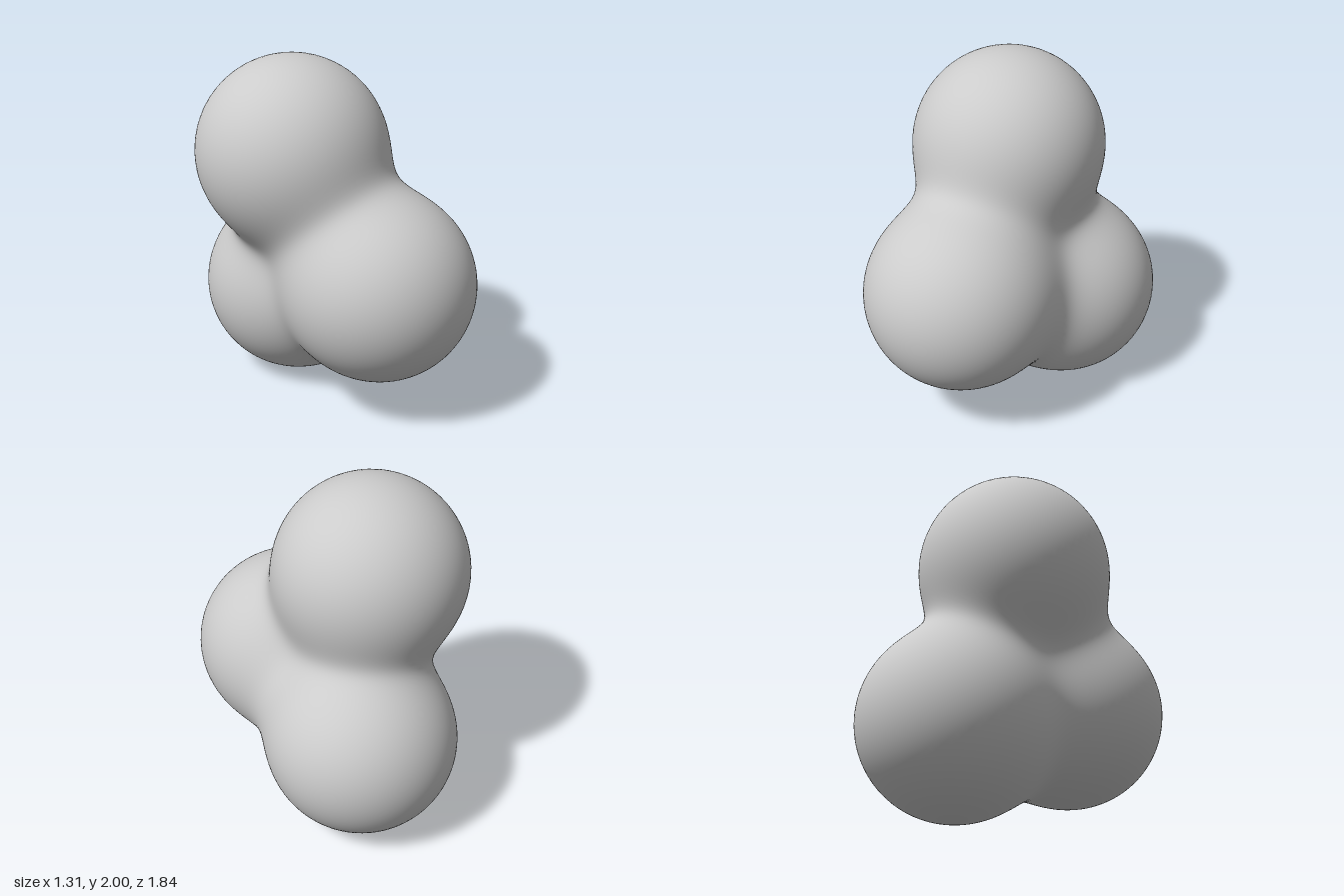
import * as THREE from 'three';

// Three equal balls melted into one smooth body
const R = 0.54;
const BLEND = 0.1;
const BALLS = [
  new THREE.Vector3(-0.115, 1.458, -0.155), // top
  new THREE.Vector3(0.05, 0.763, 0.38),     // front
  new THREE.Vector3(0.115, 0.542, -0.38),   // back
];

// Smooth union of the balls: negative inside, positive outside
function field(p) {
  let sum = 0;
  for (const c of BALLS) sum += Math.exp(-(p.distanceTo(c) - R) / BLEND);
  return -BLEND * Math.log(sum);
}

// Outward direction of the surface: weighted mean of the ball directions
function fieldNormal(p) {
  const n = new THREE.Vector3();
  for (const c of BALLS) {
    const d = p.clone().sub(c);
    const len = d.length();
    n.addScaledVector(d, Math.exp(-(len - R) / BLEND) / len);
  }
  return n.normalize();
}

export function createModel() {
  const group = new THREE.Group();
  group.name = 'blob';

  // Push every vertex of a fine sphere out from the middle to the blended surface
  const middle = BALLS.reduce((m, c) => m.addScaledVector(c, 1 / 3), new THREE.Vector3());
  const geometry = new THREE.IcosahedronGeometry(1, 28);
  const pos = geometry.attributes.position;
  const normal = geometry.attributes.normal;
  const dir = new THREE.Vector3();
  const p = new THREE.Vector3();
  for (let i = 0; i < pos.count; i++) {
    dir.fromBufferAttribute(pos, i).normalize();
    let near = 0;
    let far = 1.5;
    for (let k = 0; k < 24; k++) {
      const t = (near + far) / 2;
      p.copy(middle).addScaledVector(dir, t);
      if (field(p) < 0) near = t;
      else far = t;
    }
    const n = fieldNormal(p);
    pos.setXYZ(i, p.x, p.y, p.z);
    normal.setXYZ(i, n.x, n.y, n.z);
  }

  const body = new THREE.Mesh(geometry, new THREE.MeshStandardMaterial({ color: 0xcccccc }));
  body.name = 'blendedBalls';
  group.add(body);
  return group;
}
